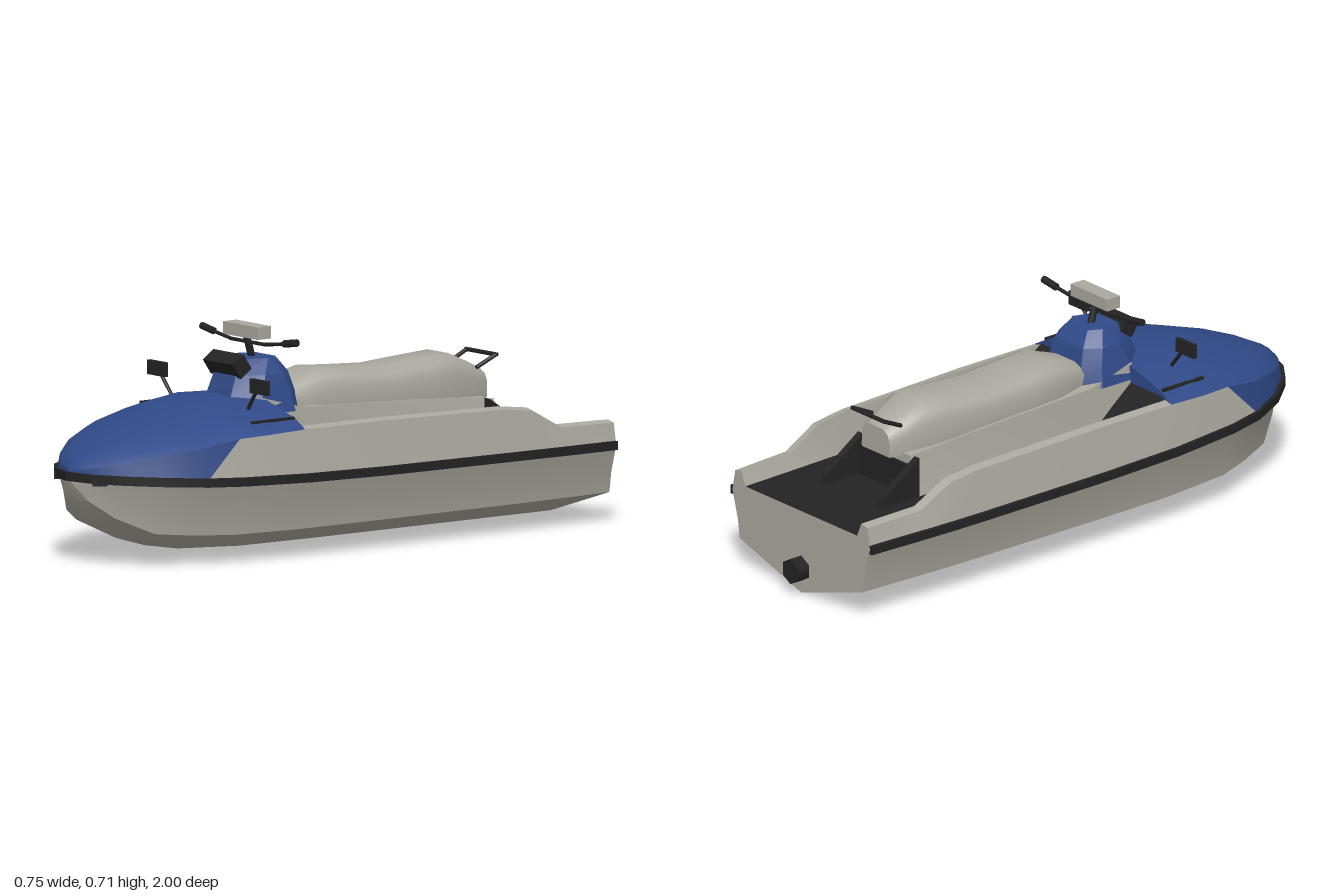
import * as THREE from 'three';
import { toCreasedNormals } from 'three/addons/utils/BufferGeometryUtils.js';

const mat = (name, color) => {
  const m = new THREE.MeshStandardMaterial({ color, side: THREE.DoubleSide });
  m.name = name;
  return m;
};

// Hull stations: z, keel y, chine x, chine y, gunwale x, gunwale y, shoulder x, shoulder y
const stations = [
  [-0.955, 0.002, 0.30, 0.095, 0.335, 0.25, 0.322, 0.32],
  [-0.74, 0.002, 0.31, 0.095, 0.35, 0.253, 0.328, 0.325],
  [-0.62, 0.002, 0.315, 0.095, 0.357, 0.255, 0.332, 0.39],
  [-0.5, 0.002, 0.317, 0.095, 0.36, 0.256, 0.334, 0.405],
  [0, 0.002, 0.32, 0.095, 0.365, 0.26, 0.337, 0.415],
  [0.3, 0.004, 0.318, 0.095, 0.362, 0.265, 0.335, 0.415],
  [0.55, 0.018, 0.295, 0.096, 0.342, 0.272, 0.318, 0.405],
  [0.68, 0.04, 0.25, 0.1, 0.315, 0.277, 0.302, 0.385],
  [0.8, 0.075, 0.2, 0.11, 0.255, 0.283, 0.24, 0.362],
  [0.9, 0.135, 0.125, 0.16, 0.172, 0.287, 0.158, 0.338],
  [0.96, 0.205, 0.06, 0.215, 0.092, 0.289, 0.082, 0.322],
  [0.99, 0.28, 0, 0.28, 0, 0.291, 0, 0.308],
].map(([z, ky, cx, cy, gx, gy, sx, sy]) => ({ z, ky, cx, cy, gx, gy, sx, sy }));
const FLOOR = 0.28;

// Surface through rows of [x, y, z] points; optional closed rings and end caps
function loft(rows, { closed = false, caps = false, crease = 0.5 } = {}) {
  const out = [];
  const tri = (a, b, c) => {
    const [A, B, C] = [a, b, c].map((p) => new THREE.Vector3(...p));
    if (B.sub(A).cross(C.sub(A)).length() > 1e-9) out.push(...a, ...b, ...c);
  };
  const n = rows[0].length;
  for (let i = 0; i < rows.length - 1; i++) {
    for (let j = 0; j < (closed ? n : n - 1); j++) {
      const k = (j + 1) % n;
      tri(rows[i][j], rows[i + 1][j], rows[i + 1][k]);
      tri(rows[i][j], rows[i + 1][k], rows[i][k]);
    }
  }
  if (caps) {
    const last = rows[rows.length - 1];
    for (let j = 1; j < n - 1; j++) {
      tri(rows[0][0], rows[0][j], rows[0][j + 1]);
      tri(last[0], last[j + 1], last[j]);
    }
  }
  const g = new THREE.BufferGeometry();
  g.setAttribute('position', new THREE.Float32BufferAttribute(out, 3));
  return toCreasedNormals(g, crease);
}

// Half section [[x, y], ...] from the centre line outward becomes a full section
const full = (half, z) => [
  ...half.slice().reverse().filter((p) => p[0] > 0 || half[0] !== p).map(([x, y]) => [-x, y, z]),
  ...half.map(([x, y]) => [x, y, z]),
];

export function createModel() {
  const grey = mat('hull grey', 0xaaa89e);
  const blue = mat('hood blue', 0x304a88);
  const black = mat('trim black', 0x232323);
  const model = new THREE.Group();
  const add = (name, geo, m, pos = [0, 0, 0], rot = [0, 0, 0]) => {
    const mesh = new THREE.Mesh(geo, m);
    mesh.name = name;
    mesh.position.set(...pos);
    mesh.rotation.set(...rot);
    model.add(mesh);
    return mesh;
  };
  const box = (w, h, d) => new THREE.BoxGeometry(w, h, d);
  const bar = (name, a, b, r, m = black, sides = 8) => {
    const A = new THREE.Vector3(...a), B = new THREE.Vector3(...b);
    const mesh = add(name, new THREE.CylinderGeometry(r, r, A.distanceTo(B), sides), m);
    mesh.position.copy(A).lerp(B, 0.5);
    mesh.quaternion.setFromUnitVectors(new THREE.Vector3(0, 1, 0), B.sub(A).normalize());
  };

  // Lower hull: V bottom, hard chine, flared sides
  const lower = (s) => [[0, s.ky], [s.cx, s.cy],
    [s.cx + (s.gx - s.cx) * 0.25, s.cy + (s.gy - s.cy) * 0.4], [s.gx, s.gy]];
  add('hull', loft(stations.map((s) => full(lower(s), s.z))), grey);

  // Transom closing the stern
  const st = stations[0];
  const half = [...lower(st), [st.sx, st.sy], [st.sx - 0.03, st.sy + 0.005], [st.sx - 0.05, FLOOR]];
  const outline = [...half, ...half.slice(1).reverse().map(([x, y]) => [-x, y])];
  add('transom', new THREE.ShapeGeometry(new THREE.Shape(outline.map((p) => new THREE.Vector2(...p)))),
    grey, [0, 0, st.z]);

  // Footwell floor, with ramps up to the hood
  add('deck', box(0.58, 0.01, 1.255), black, [0, FLOOR - 0.005, -0.327]);
  add('footwellRamp', loft([[[-0.3, FLOOR, 0.1], [0.3, FLOOR, 0.1]],
    [[-0.3, 0.43, 0.302], [0.3, 0.43, 0.302]]]), black);

  for (const k of [1, -1]) {
    // Outer side panel, ending in a diagonal against the hood
    const side = stations.slice(0, 8).map((s, i) => [[k * s.gx, s.gy, s.z],
      i === 7 ? [k * s.gx, s.gy, s.z] : [k * s.sx, s.sy, s.z]]);
    add('sidePanel', loft(side), grey);
    // Coaming rim and inner wall
    add('coaming', loft(stations.slice(0, 6).map((s) => [[k * s.sx, s.sy, s.z],
      [k * (s.sx - 0.03), s.sy + 0.007, s.z], [k * (s.sx - 0.05), FLOOR, s.z]]), { crease: 0.3 }), grey);
    // Blue cheek below the hood shoulder
    add('hoodSide', loft(stations.slice(6).map((s, i) => [
      i === 0 ? [k * s.sx, s.sy, s.z] : [k * s.gx, s.gy, s.z], [k * s.sx, s.sy, s.z]])), blue);
    // Rubber rail along the gunwale
    add('bumper', loft(stations.map((s, i) => {
      const bow = i === stations.length - 1;
      const [a, b] = bow ? [0, 0] : [k * (s.gx - 0.008), k * (s.gx + 0.01)];
      const [za, zb] = bow ? [0.98, 1] : [s.z, s.z + (s.z > 0.75 ? 0.006 : 0)];
      return [[a, s.gy - 0.015, za], [b, s.gy - 0.015, zb], [b, s.gy + 0.013, zb], [a, s.gy + 0.013, za]];
    }), { closed: true, caps: true }), black);
    add('bowPad', box(0.045, 0.028, 0.03), black, [k * 0.105, 0.281, 0.945], [0, k * 0.7, 0]);

    // Mirror on a slanted stalk
    bar('mirrorStalk', [k * 0.195, 0.475, 0.42], [k * 0.245, 0.54, 0.425], 0.006);
    add('mirror', box(0.088, 0.046, 0.014), black, [k * 0.261, 0.553, 0.425]);
    // Hood vent slit
    add('hoodVent', box(0.012, 0.008, 0.17), black, [k * 0.284, 0.446, 0.39]);

    // Handlebar arm and grip
    bar('handlebarArm', [k * 0.085, 0.654, 0.265], [k * 0.19, 0.668, 0.262], 0.006);
    bar('grip', [k * 0.18, 0.667, 0.262], [k * 0.242, 0.677, 0.26], 0.012);

    // Fin behind the seat pedestal
    const fin = [[0.41, -0.59], [FLOOR, -0.59], [FLOOR, -0.75], [0.31, -0.74]];
    add('rearFin', loft([0.125, 0.15].map((x) => fin.map(([y, z]) => [k * x, y, z])),
      { closed: true, caps: true, crease: 0.2 }), black);
    // Grab rail sides
    bar('grabRailArm', [k * 0.07, 0.5, -0.6], [k * 0.075, 0.535, -0.675], 0.007);
  }
  bar('grabRail', [-0.08, 0.535, -0.675], [0.08, 0.535, -0.675], 0.007);

  // Hood crown
  const crown = [0.495, 0.488, 0.45, 0.415, 0.376, 0.345, 0.314];
  const hoodRows = stations.slice(5).map((s, i) => {
    const h = crown[i] - s.sy;
    return full([[0, crown[i]], [s.sx * 0.42, s.sy + h * 0.88],
      [s.sx * 0.84, s.sy + h * 0.38], [s.sx, s.sy]], s.z);
  });
  const bulge = hoodRows[0].map((p, j) => [p[0] * 0.995,
    (p[1] + hoodRows[1][j][1]) / 2 + (j > 0 && j < hoodRows[0].length - 1 ? 0.01 : 0), 0.44]);
  hoodRows.splice(1, 0, bulge);
  add('hood', loft(hoodRows, { crease: 0.7 }), blue);
  add('hoodRear', loft([hoodRows[0], hoodRows[0].map(([x, , z]) => [x * 0.93, 0.41, z])]), blue);

  // Seat pedestal: z, top half width, top y
  add('seatPedestal', loft([[-0.6, 0.115, 0.41], [-0.3, 0.125, 0.43], [0.14, 0.13, 0.448], [0.31, 0.13, 0.492]]
    .map(([z, w, y]) => full([[w, y], [0.15, FLOOR]], z).map((p) => p)
      .sort((a, b) => Math.atan2(a[1] - 0.35, a[0]) - Math.atan2(b[1] - 0.35, b[0]))),
  { closed: true, caps: true, crease: 0.3 }), grey);
  add('pedestalRear', box(0.25, 0.1, 0.01), black, [0, 0.33, -0.604]);

  // Padded seat: z, half width, top y, bottom y
  add('seat', loft([
    [-0.645, 0.068, 0.488, 0.40], [-0.59, 0.085, 0.515, 0.40], [-0.5, 0.108, 0.553, 0.41],
    [-0.4, 0.117, 0.546, 0.415], [-0.23, 0.118, 0.535, 0.425], [-0.08, 0.12, 0.543, 0.43],
    [0.03, 0.118, 0.551, 0.44], [0.1, 0.1, 0.53, 0.44], [0.17, 0.085, 0.505, 0.44],
  ].map(([z, w, t, b]) => {
    const h = t - b;
    return full([[w * 0.5, t], [w * 0.85, t - h * 0.15], [w, t - h * 0.42], [w * 0.98, b]], z);
  }), { closed: true, caps: true, crease: 0.75 }), grey);

  // Steering console: y, half width, rear z, front z, front half width
  add('console', loft([[0.44, 0.138, 0.135, 0.4, 0.07], [0.495, 0.124, 0.14, 0.385, 0.062],
    [0.56, 0.106, 0.16, 0.36, 0.056], [0.608, 0.075, 0.195, 0.315, 0.05]]
    .map(([y, w, z0, z1, f]) => [[-f, y, z1], [f, y, z1], [w, y, z1 - 0.08], [w, y, z0 + 0.05],
      [w * 0.65, y, z0], [-w * 0.65, y, z0], [-w, y, z0 + 0.05], [-w, y, z1 - 0.08]]),
  { closed: true, caps: true, crease: 0.3 }), blue);
  add('gaugePod', box(0.154, 0.058, 0.052), black, [0, 0.59, 0.35], [0.6, 0, 0]);

  // Handlebar centre and pad
  bar('steeringColumn', [0, 0.6, 0.25], [0, 0.675, 0.272], 0.012);
  bar('handlebar', [-0.09, 0.654, 0.265], [0.09, 0.654, 0.265], 0.006);
  add('handlebarPad', box(0.178, 0.04, 0.054), grey, [0, 0.692, 0.27]);

  // Jet nozzle
  bar('jetNozzle', [0, 0.085, -1], [0, 0.085, -0.93], 0.043, black, 6);

  return model;
}
